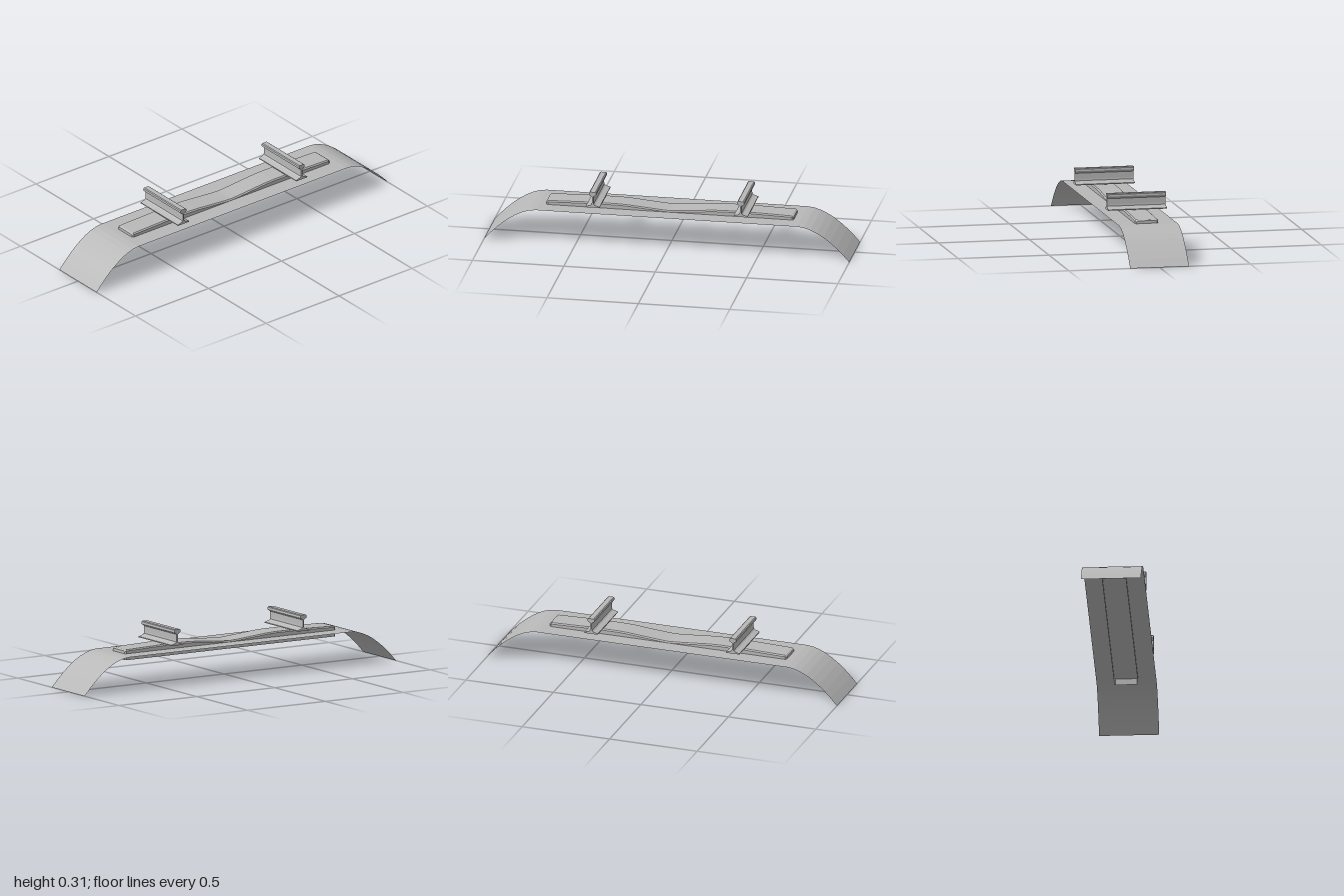
import * as THREE from 'three';

const HALF_Z = 0.162;
const material = new THREE.MeshStandardMaterial({ color: 0xb8b8b8, side: THREE.DoubleSide });
material.name = 'light grey';

// Flat-faceted skin through cross-sections that advance along +x; rings run from +z to -z
function loft(sections, capped) {
  const out = [];
  const tri = (...corners) => corners.forEach(p => out.push(...p));
  for (let i = 0; i < sections.length - 1; i++) {
    const s = sections[i], t = sections[i + 1];
    for (let j = 0; j < s.length - 1; j++) {
      tri(s[j], t[j], t[j + 1]);
      tri(s[j], t[j + 1], s[j + 1]);
    }
  }
  if (capped) {
    const first = sections[0], last = sections[sections.length - 1];
    for (let j = 1; j < first.length - 1; j++) {
      tri(first[0], first[j], first[j + 1]);
      tri(last[0], last[j + 1], last[j]);
    }
  }
  const geometry = new THREE.BufferGeometry();
  geometry.setAttribute('position', new THREE.Float32BufferAttribute(out, 3));
  geometry.computeVertexNormals();
  return geometry;
}

// Mirror a half list of [x, ...] rows, ordered outward from the middle, across x = 0
function mirrorRows(rows) {
  const left = rows.filter(r => r[0] > 0).reverse().map(([x, ...rest]) => [-x, ...rest]);
  return [...left, ...rows];
}

function addMesh(parent, name, geometry) {
  const mesh = new THREE.Mesh(geometry, material);
  mesh.name = name;
  parent.add(mesh);
  return mesh;
}

// Thin ballast sheet: level bed with shoulders that curve down to the ground
function ballastGeometry() {
  const rows = [];
  const steps = 8;
  for (let i = 0; i <= steps; i++) {
    const t = i / steps;
    rows.push([0.715 + 0.285 * t, 0.185 * (1 - t ** 1.8)]);
  }
  return loft(mirrorRows(rows).map(([x, y]) => [[x, y, HALF_Z], [x, y, -HALF_Z]]), false);
}

// Hollow sleeper, open below, with a dipped middle and chamfered edges
function sleeperGeometry() {
  const rows = mirrorRows([
    // x, top height, half width
    [0, 0.192, 0.064],
    [0.04, 0.194, 0.064],
    [0.15, 0.203, 0.064],
    [0.23, 0.21, 0.064],
    [0.29, 0.2125, 0.064],
    [0.43, 0.2125, 0.064],
    [0.668, 0.206, 0.064],
    [0.677, 0.2, 0.057],
  ]);
  return loft(rows.map(([x, top, w]) => [
    [x, 0.15, w], [x, top - 0.006, w], [x, top, w - 0.007],
    [x, top, 0.007 - w], [x, top - 0.006, -w], [x, 0.15, -w],
  ]), true);
}

// Rail with a broad foot, thin web and rounded head
function railGeometry() {
  const half = [
    [0.038, 0.22], [0.038, 0.225], [0.012, 0.233], [0.005, 0.239],
    [0.004, 0.25], [0.004, 0.28], [0.007, 0.284], [0.018, 0.29],
    [0.02, 0.294], [0.019, 0.304], [0.014, 0.308],
  ];
  const outline = [...half, ...half.map(([x, y]) => [-x, y]).reverse()];
  const shape = new THREE.Shape(outline.map(([x, y]) => new THREE.Vector2(x, y)));
  const geometry = new THREE.ExtrudeGeometry(shape, { depth: 2 * HALF_Z, bevelEnabled: false });
  geometry.translate(0, 0, -HALF_Z);
  return geometry;
}

export function createModel() {
  const group = new THREE.Group();
  group.name = 'trackSection';
  addMesh(group, 'ballast', ballastGeometry());
  addMesh(group, 'sleeper', sleeperGeometry());
  const rail = railGeometry();
  for (const [name, side] of [['leftRail', 1], ['rightRail', -1]]) {
    addMesh(group, name, rail).position.x = 0.405 * side;
  }
  return group;
}
